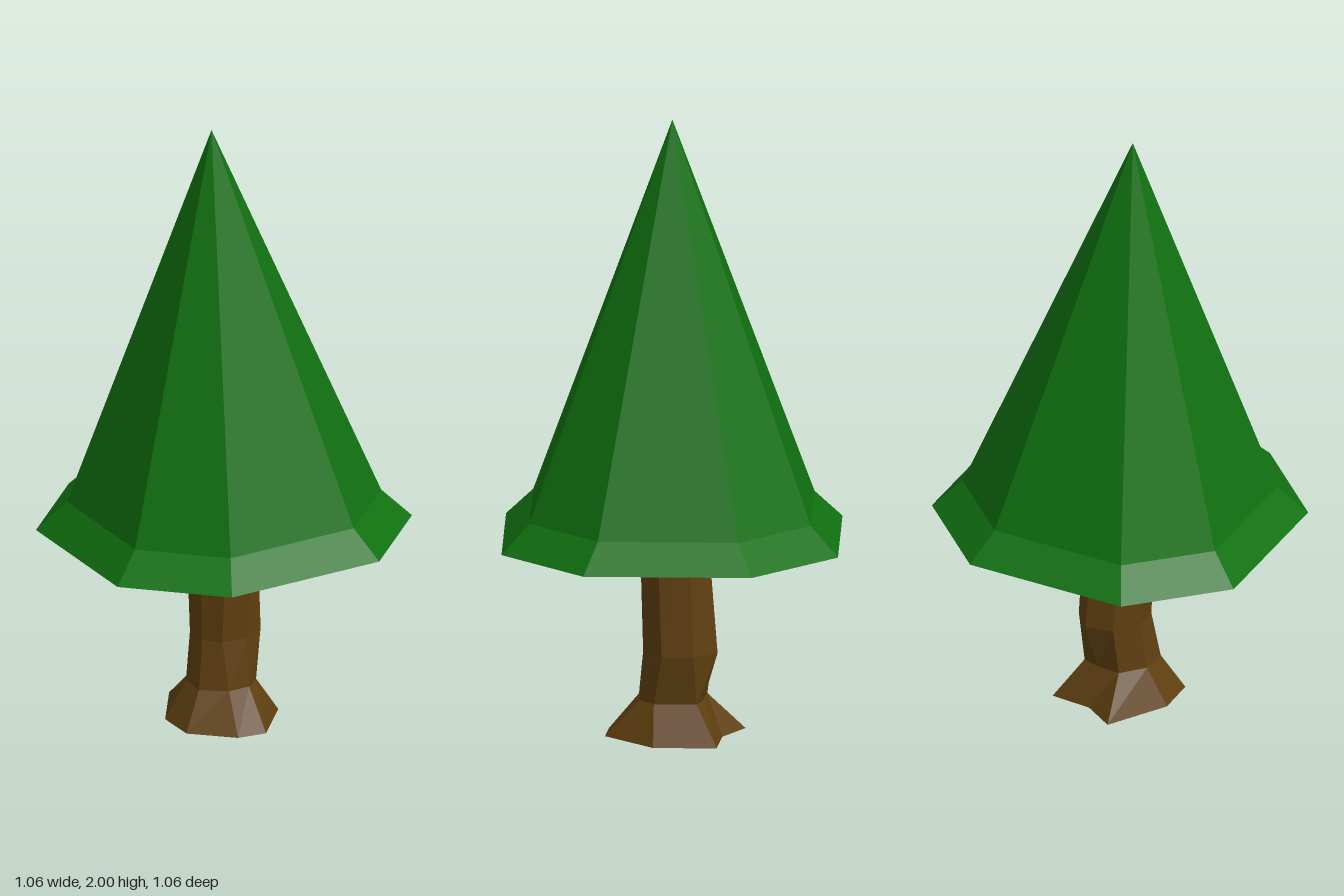
import * as THREE from 'three';

// Skins a stack of equal-length rings (bottom to top, points as [x, y, z]) with flat facets.
function loft(rings) {
  const pos = [];
  const tri = (a, b, c) => {
    const [A, B, C] = [a, b, c].map((p) => new THREE.Vector3(...p));
    if (B.clone().sub(A).cross(C.clone().sub(A)).length() > 1e-8) pos.push(...a, ...b, ...c);
  };
  for (let r = 0; r < rings.length - 1; r++) {
    const lo = rings[r], hi = rings[r + 1], n = lo.length;
    for (let i = 0; i < n; i++) {
      const j = (i + 1) % n;
      tri(lo[i], hi[i], lo[j]);
      tri(hi[i], hi[j], lo[j]);
    }
  }
  const geo = new THREE.BufferGeometry();
  geo.setAttribute('position', new THREE.Float32BufferAttribute(pos, 3));
  geo.computeVertexNormals();
  return geo;
}

// Eight-sided ring: a square with its corners cut halfway, slightly tilted towards -x.
const OCT = [[1, 0.5], [0.5, 1], [-0.5, 1], [-1, 0.5], [-1, -0.5], [-0.5, -1], [0.5, -1], [1, -0.5]];
const octRing = (r, y, cx = 0) => OCT.map(([x, z]) => [cx + x * r, y + 0.028 * x * r, z * r]);
const point = (x, y, z) => OCT.map(() => [x, y, z]);

export function createModel() {
  const leafGreen = new THREE.MeshStandardMaterial({ color: 0x107010 });
  const barkBrown = new THREE.MeshStandardMaterial({ color: 0x5f3f10 });
  const group = new THREE.Group();
  const add = (name, geo, mat) => {
    const mesh = new THREE.Mesh(geo, mat);
    mesh.name = name;
    group.add(mesh);
  };

  // Foliage: trunk socket, hollow underside, flared skirt and tall cone
  add('foliage', loft([
    point(-0.01, 0.85, 0),
    octRing(0.13, 0.85, -0.01),
    octRing(0.13, 0.715, -0.01),
    octRing(0.53, 0.65),
    octRing(0.443, 0.742),
    point(-0.045, 2, 0),
  ]), leafGreen);

  // Trunk: irregular crooked cross-sections from the flared foot upward
  const sections = [
    [0, [[0.165, 0.055], [0.035, 0.21], [-0.06, 0.2], [-0.185, 0.09], [-0.187, -0.045], [-0.07, -0.23], [0.03, -0.16], [0.165, -0.145]]],
    [0.12, [[0.085, 0.055], [0.035, 0.1], [-0.04, 0.105], [-0.118, 0.05], [-0.115, -0.04], [-0.05, -0.11], [0.03, -0.1], [0.085, -0.08]]],
    [0.28, [[0.115, 0.03], [0.035, 0.09], [-0.05, 0.08], [-0.095, 0.03], [-0.095, -0.05], [-0.04, -0.13], [0.05, -0.145], [0.11, -0.07]]],
    [0.85, [[0.085, 0.05], [0.035, 0.105], [-0.05, 0.118], [-0.122, 0.05], [-0.122, -0.04], [-0.05, -0.095], [0.03, -0.1], [0.085, -0.05]]],
  ];
  const rings = sections.map(([y, pts]) => pts.map(([x, z]) => [x, y, z]));
  add('trunk', loft([point(0, 0, 0), ...rings]), barkBrown);

  return group;
}
